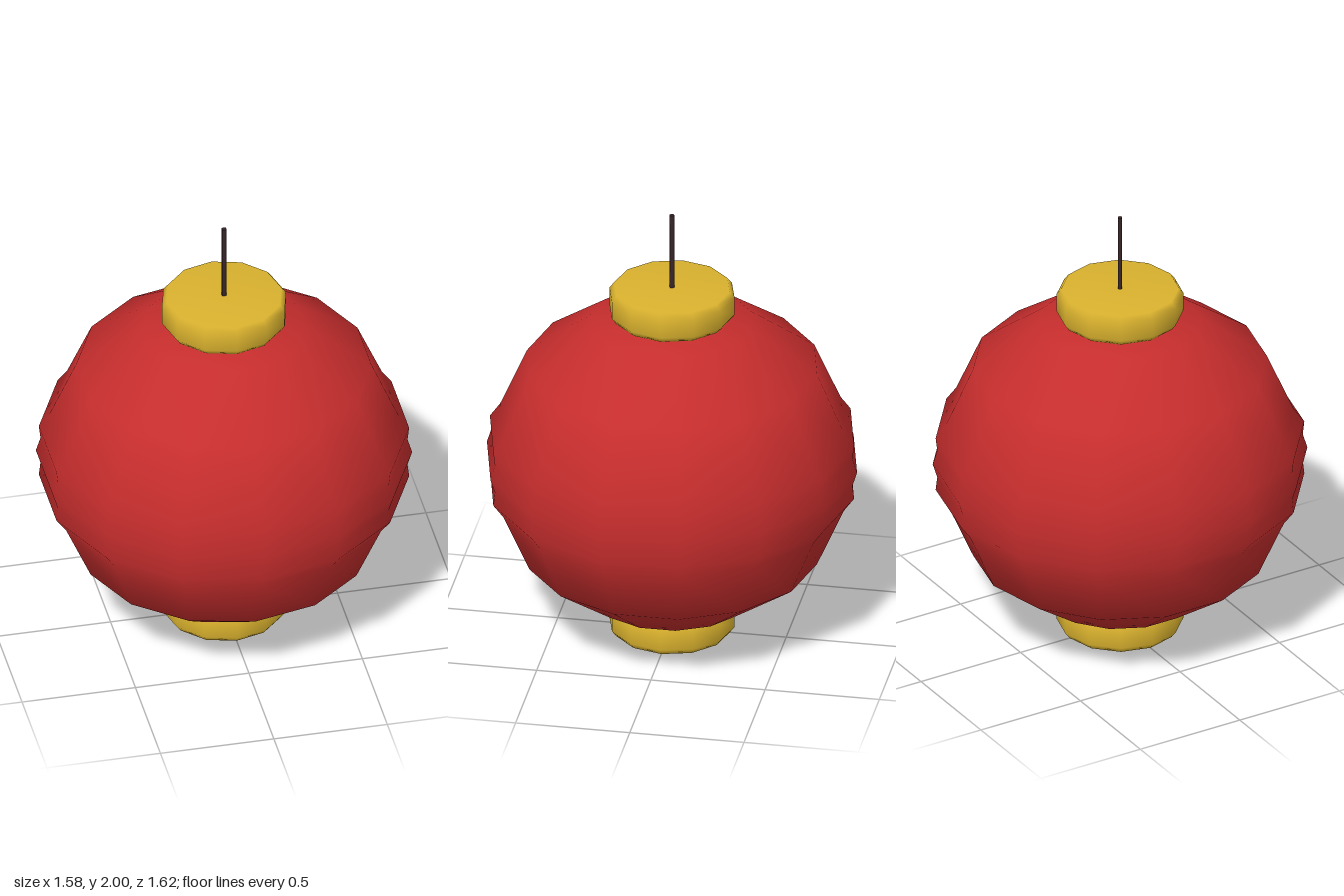
import * as THREE from 'three';

const red = new THREE.MeshStandardMaterial({ name: 'red paper', color: 0xc62d2d });
const gold = new THREE.MeshStandardMaterial({ name: 'gold trim', color: 0xdab22e });
const dark = new THREE.MeshStandardMaterial({ name: 'dark cord', color: 0x3a2629 });

const MID = 0.826; // height of the lantern's equator

// Turned part from [radius, y] pairs listed bottom to top
function lathe(name, profile, sides, material) {
  const points = profile.map(([r, y]) => new THREE.Vector2(r, y));
  const mesh = new THREE.Mesh(new THREE.LatheGeometry(points, sides), material);
  mesh.name = name;
  return mesh;
}

export function createModel() {
  const group = new THREE.Group();
  group.name = 'paperLantern';

  // Body: squashed globe with three shallow ribs round the middle
  const upper = [[0.79, 0.065], [0.797, 0.127], [0.752, 0.19], [0.635, 0.459], [0.35, 0.661], [0, 0.735]];
  const lower = upper.map(([r, y]) => [r, -y]).reverse();
  const body = lathe('lanternBody', [...lower, [0.81, 0], ...upper], 14, red);

  // Soft globe normals carry across the ribs
  const { position, normal } = body.geometry.attributes;
  const n = new THREE.Vector3();
  for (let i = 0; i < position.count; i++) {
    n.fromBufferAttribute(position, i);
    n.set(n.x / 0.81 ** 2, n.y / 0.735 ** 2, n.z / 0.81 ** 2).normalize();
    normal.setXYZ(i, n.x, n.y, n.z);
  }
  body.position.y = MID;
  group.add(body);

  // Bevelled end caps
  const capProfile = [[0, 0], [0.253, 0], [0.274, 0.028], [0.274, 0.109], [0.253, 0.137], [0, 0.137]];
  for (const [name, y] of [['bottomCap', 0], ['topCap', 1.514]]) {
    const cap = lathe(name, capProfile, 12, gold);
    cap.position.y = y;
    group.add(cap);
  }

  // Hanging cord
  const cord = new THREE.Mesh(new THREE.CylinderGeometry(0.011, 0.011, 0.4, 6), dark);
  cord.name = 'hangingCord';
  cord.position.y = 1.8;
  group.add(cord);

  return group;
}
